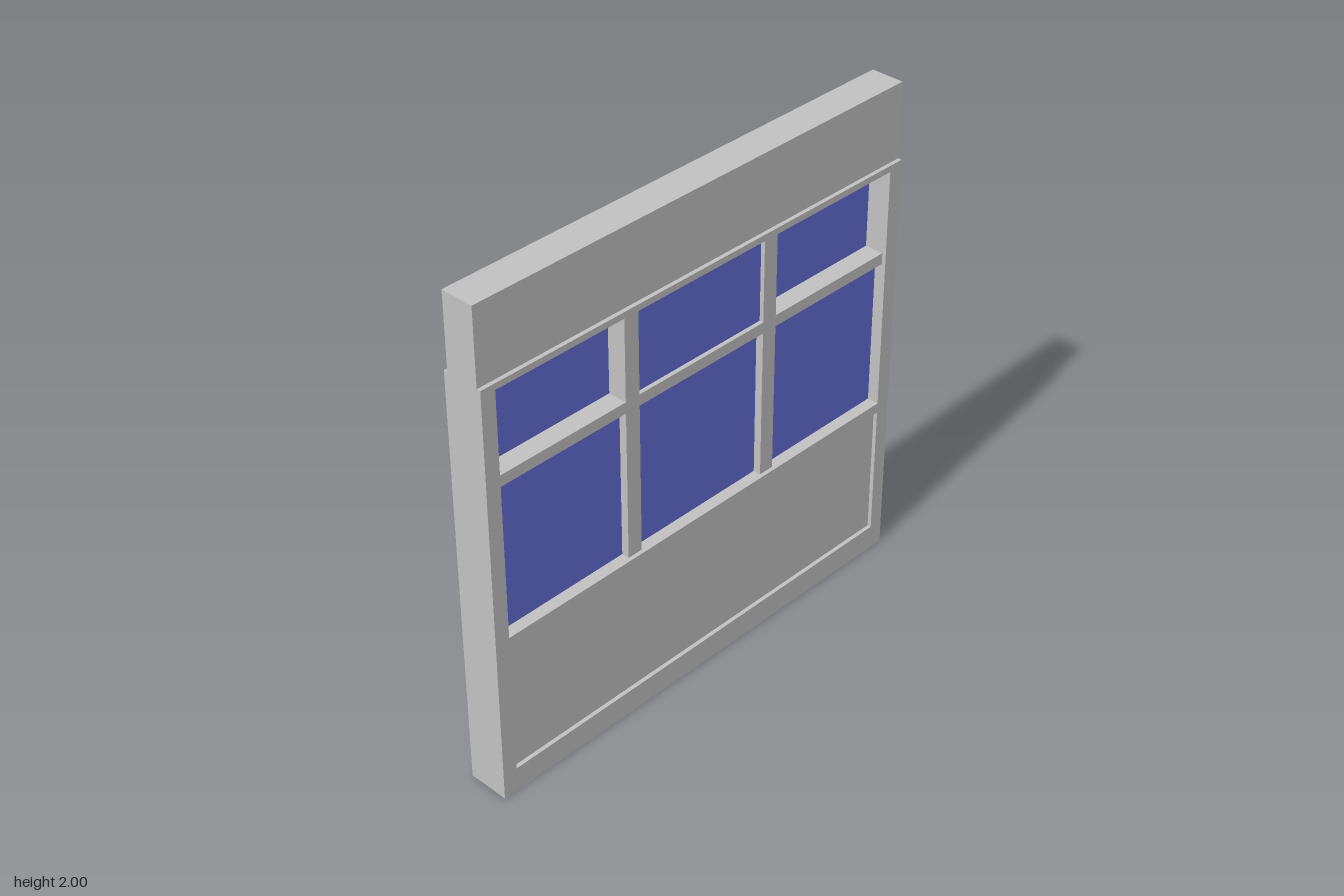
import * as THREE from 'three';

export function createModel() {
  const model = new THREE.Group();
  model.name = 'windowWall';
  const grey = new THREE.MeshStandardMaterial({ color: 0xc2c2c2 });
  grey.name = 'grey';
  const blue = new THREE.MeshStandardMaterial({ color: 0x636ed4 });
  blue.name = 'blue glass';

  const FRAME = 0.083, INSET = 0.067; // half depths
  const Z = 0.94;                     // half width of the openings

  // Box given by its x, y and z ranges
  function slab(name, material, [x0, x1], [y0, y1], [z0, z1]) {
    const mesh = new THREE.Mesh(new THREE.BoxGeometry(x1 - x0, y1 - y0, z1 - z0), material);
    mesh.position.set((x0 + x1) / 2, (y0 + y1) / 2, (z0 + z1) / 2);
    mesh.name = name;
    model.add(mesh);
  }

  // Rectangular outline for the frame and its openings
  function rectangle(path, halfWidth, y0, y1) {
    path.moveTo(-halfWidth, y0);
    path.lineTo(halfWidth, y0);
    path.lineTo(halfWidth, y1);
    path.lineTo(-halfWidth, y1);
    path.closePath();
    return path;
  }

  // Outer frame with a window opening and a lower panel opening
  const outline = rectangle(new THREE.Shape(), 1, 0, 1.7);
  outline.holes.push(
    rectangle(new THREE.Path(), Z, 0.1, 0.643),
    rectangle(new THREE.Path(), Z, 0.685, 1.675)
  );
  const frameGeometry = new THREE.ExtrudeGeometry(outline, { depth: 2 * FRAME, bevelEnabled: false });
  frameGeometry.translate(0, 0, -FRAME).rotateY(Math.PI / 2);
  const frame = new THREE.Mesh(frameGeometry, grey);
  frame.name = 'frame';
  model.add(frame);

  // Header beam and recessed lower panel
  slab('header', grey, [-INSET, INSET], [1.7, 2], [-1, 1]);
  slab('lowerPanel', grey, [-INSET, INSET], [0.1, 0.643], [-Z, Z]);

  // Mullions and the crossbar between them
  for (const s of [-1, 1]) {
    slab('mullion', grey, [-INSET, INSET], [0.685, 1.675], [s * 0.335 - 0.032, s * 0.335 + 0.032]);
  }
  const bays = [[-Z, -0.367], [-0.303, 0.303], [0.367, Z]];
  bays.forEach((bay, i) => {
    slab('crossbar', grey, [-INSET, INSET], [1.29, 1.335], bay);
    // Lower glass is centred; upper glass alternates between the two sides
    slab('lowerGlass', blue, [-0.036, 0.036], [0.685, 1.29], bay);
    slab('upperGlass', blue, i === 1 ? [0.01, 0.05] : [-0.05, -0.01], [1.335, 1.675], bay);
  });

  return model;
}
